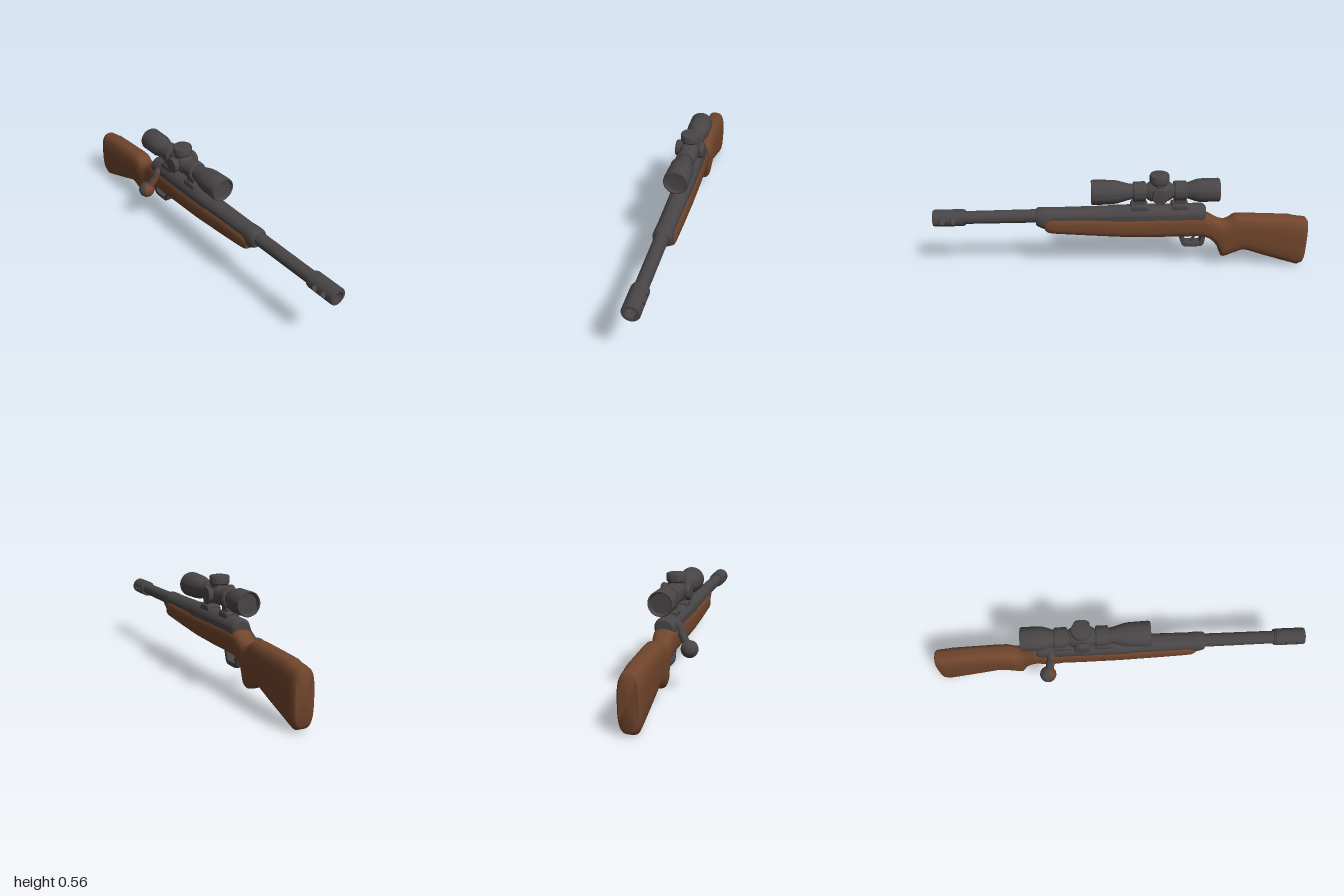
import * as THREE from 'three';
import { toCreasedNormals } from 'three/addons/utils/BufferGeometryUtils.js';

const wood = new THREE.MeshStandardMaterial({ color: 0x70452c });
wood.name = 'walnut wood';
const metal = new THREE.MeshStandardMaterial({ color: 0x494546 });
metal.name = 'dark steel';

// Skin closed rings of [x, y, z] points, ordered from +z over +y to -z
function skin(rings, capped) {
  const n = rings[0].length, pos = rings.flat(2), index = [];
  for (let i = 0; i < rings.length - 1; i++) {
    for (let j = 0; j < n; j++) {
      const k = (j + 1) % n, a = i * n + j, b = i * n + k;
      index.push(a, a + n, b, b, a + n, b + n);
    }
  }
  if (capped) {
    [0, rings.length - 1].forEach((r, end) => {
      const c = pos.length / 3, mid = [0, 0, 0];
      rings[r].forEach(p => p.forEach((v, m) => { mid[m] += v / n; }));
      pos.push(...mid);
      for (let j = 0; j < n; j++) {
        const a = r * n + j, b = r * n + (j + 1) % n;
        index.push(c, end ? b : a, end ? a : b);
      }
    });
  }
  const g = new THREE.BufferGeometry();
  g.setAttribute('position', new THREE.Float32BufferAttribute(pos, 3));
  g.setIndex(index);
  return toCreasedNormals(g, 0.75);
}

// Rounded-box sections along x: [x, bottom, top, half width]
function loft(rows, power, sides = 40) {
  const bend = v => Math.sign(v) * Math.abs(v) ** (2 / power);
  return skin(rows.map(([x, lo, hi, w]) => Array.from({ length: sides }, (_, j) => {
    const t = (j / sides) * Math.PI * 2;
    return [x, (lo + hi) / 2 + bend(Math.sin(t)) * (hi - lo) / 2, bend(Math.cos(t)) * w];
  })), true);
}

// Turned profile of [position, radius] pairs around the y axis
function turned(profile, sides = 40) {
  return toCreasedNormals(new THREE.LatheGeometry(profile.map(([p, r]) => new THREE.Vector2(r, p)), sides), 0.6);
}
const turnedX = (profile, sides) => turned(profile, sides).rotateZ(-Math.PI / 2);

export function createModel() {
  const model = new THREE.Group();
  model.name = 'boltActionRifle';
  model.position.z = -0.04;
  const add = (name, geometry, material, x = 0, y = 0, z = 0, parent = model) => {
    const mesh = new THREE.Mesh(geometry, material);
    mesh.name = name;
    mesh.position.set(x, y, z);
    parent.add(mesh);
    return mesh;
  };

  // Stock: butt, grip and forend in one piece
  add('stock', loft([
    [-1, 0.03, 0.272, 0.046], [-0.992, 0.012, 0.283, 0.053], [-0.965, 0, 0.288, 0.056],
    [-0.93, 0.012, 0.292, 0.057], [-0.9, 0.022, 0.301, 0.057], [-0.78, 0.063, 0.308, 0.056],
    [-0.68, 0.1, 0.313, 0.055], [-0.65, 0.104, 0.315, 0.055], [-0.605, 0.086, 0.315, 0.055],
    [-0.59, 0.08, 0.309, 0.055], [-0.573, 0.072, 0.294, 0.055], [-0.55, 0.065, 0.284, 0.055],
    [-0.537, 0.068, 0.284, 0.054], [-0.527, 0.09, 0.286, 0.052], [-0.51, 0.135, 0.291, 0.05],
    [-0.49, 0.16, 0.302, 0.05], [-0.465, 0.182, 0.318, 0.052], [-0.435, 0.196, 0.332, 0.056],
    [-0.39, 0.2, 0.335, 0.059], [-0.2, 0.202, 0.335, 0.061], [0, 0.208, 0.333, 0.061],
    [0.2, 0.224, 0.338, 0.06], [0.36, 0.238, 0.34, 0.058], [0.395, 0.243, 0.338, 0.056],
    [0.415, 0.255, 0.325, 0.049],
  ], 3), wood);

  // Receiver tube with stepped top, forend cap and barrel
  add('receiver', turnedX([
    [-0.44, 0], [-0.44, 0.04], [-0.43, 0.05], [-0.42, 0.054], [0.05, 0.054], [0.09, 0.05],
    [0.44, 0.047], [0.445, 0.03], [0.445, 0],
  ]), metal, 0, 0.33);
  add('forendCap', loft([
    [0.35, 0.25, 0.375, 0.045], [0.385, 0.25, 0.378, 0.049], [0.42, 0.262, 0.378, 0.05],
    [0.45, 0.277, 0.377, 0.048], [0.462, 0.287, 0.37, 0.042],
  ], 2.5), metal);
  add('barrel', turnedX([
    [0.4, 0], [0.4, 0.036], [0.835, 0.034], [0.835, 0.042], [0.84, 0.042], [0.84, 0],
  ]), metal, 0, 0.334);

  // Muzzle brake: two half shells whose edges are notched to leave round ports
  const arc = 20, rings = [];
  for (let i = 0; i <= 80; i++) {
    const x = 0.835 + 0.165 * i / 80;
    let gap = 0;
    for (const c of [0.892, 0.947]) gap = Math.max(gap, 0.48 * Math.sqrt(Math.max(0, 1 - ((x - c) / 0.015) ** 2)));
    const outer = x < 0.845 || x > 0.995 ? 0.042 : 0.045, ring = [];
    for (const [r, back] of [[outer, 0], [0.028, 1]]) {
      for (let j = 0; j <= arc; j++) {
        const t = gap + (Math.PI - 2 * gap) * (back ? arc - j : j) / arc;
        ring.push([x, r * Math.sin(t), r * Math.cos(t)]);
      }
    }
    rings.push(ring);
  }
  for (const half of [0, 1]) {
    add(half ? 'muzzleBrakeLower' : 'muzzleBrakeUpper', skin(rings, false), metal, 0, 0.334).rotation.x = half * Math.PI;
  }
  add('muzzleFace', new THREE.RingGeometry(0.028, 0.042, 40).rotateY(Math.PI / 2), metal, 1, 0.334);

  // Trigger guard loop and trigger
  const guard = new THREE.Shape();
  guard.moveTo(-0.447, 0.22).lineTo(-0.438, 0.16).quadraticCurveTo(-0.434, 0.137, -0.41, 0.137)
    .lineTo(-0.34, 0.137).quadraticCurveTo(-0.325, 0.138, -0.318, 0.155).lineTo(-0.295, 0.22).closePath();
  const opening = new THREE.Path();
  opening.moveTo(-0.425, 0.205).lineTo(-0.42, 0.165).quadraticCurveTo(-0.418, 0.155, -0.405, 0.155)
    .lineTo(-0.347, 0.155).quadraticCurveTo(-0.338, 0.156, -0.334, 0.165).lineTo(-0.318, 0.205).closePath();
  guard.holes.push(opening);
  add('triggerGuard', new THREE.ExtrudeGeometry(guard, {
    depth: 0.044, bevelThickness: 0.005, bevelSize: 0.003, bevelSegments: 2,
  }), metal, 0, 0, -0.022);
  const triggerPath = new THREE.QuadraticBezierCurve3(
    new THREE.Vector3(-0.39, 0.21, 0), new THREE.Vector3(-0.388, 0.18, 0), new THREE.Vector3(-0.37, 0.162, 0));
  add('trigger', new THREE.TubeGeometry(triggerPath, 10, 0.008, 10), metal);

  // Bolt handle sweeping down to a ball knob, steel behind and wood-coloured ahead
  const handlePath = new THREE.CatmullRomCurve3([
    [-0.36, 0.345, 0.03], [-0.362, 0.335, 0.053], [-0.37, 0.29, 0.073], [-0.385, 0.235, 0.108],
  ].map(p => new THREE.Vector3(...p)));
  add('boltHandle', new THREE.TubeGeometry(handlePath, 20, 0.02, 16), metal);
  add('boltHandleFront', new THREE.TubeGeometry(handlePath, 20, 0.019, 16), wood, 0.005, -0.002, -0.002);
  for (const [name, start, mat] of [['knobRear', -0.25, metal], ['knobFront', 0.75, wood]]) {
    add(name, new THREE.SphereGeometry(0.044, 20, 24, start * Math.PI, Math.PI), mat, -0.388, 0.222, 0.115);
  }

  // Telescopic sight
  const scope = new THREE.Group();
  scope.name = 'scope';
  scope.position.y = 0.466;
  model.add(scope);
  add('scopeTube', turnedX([
    [-0.488, 0], [-0.488, 0.05], [-0.505, 0.055], [-0.507, 0.06], [-0.5, 0.063], [-0.4, 0.062],
    [-0.375, 0.056], [-0.34, 0.043], [-0.32, 0.039], [-0.06, 0.039], [-0.03, 0.043], [0.03, 0.06],
    [0.06, 0.064], [0.155, 0.067], [0.166, 0.065], [0.168, 0.059], [0.155, 0.053], [0.148, 0],
  ], 48), metal, 0, 0, 0, scope);
  add('turretHousing', loft([
    [-0.255, -0.04, 0.04, 0.04], [-0.235, -0.05, 0.05, 0.05],
    [-0.145, -0.05, 0.05, 0.05], [-0.125, -0.04, 0.04, 0.04],
  ], 2.6), metal, 0, 0, 0, scope);
  const topTurret = [[0, 0.04], [0.05, 0.044], [0.058, 0.051], [0.09, 0.052], [0.096, 0.049], [0.098, 0.042], [0.098, 0]];
  const sideTurret = [[0, 0.036], [0.05, 0.036], [0.054, 0.043], [0.072, 0.043], [0.077, 0.04], [0.078, 0.034], [0.078, 0]];
  add('topTurret', turned(topTurret), metal, -0.19, 0, 0, scope);
  for (const side of [1, -1]) {
    add(side > 0 ? 'frontTurret' : 'backTurret', turned(sideTurret).rotateX(side * Math.PI / 2), metal, -0.19, 0, 0, scope);
  }

  // Clamp rings and their feet on the receiver
  for (const x of [-0.3, -0.085]) {
    add('scopeRing', turnedX([
      [-0.034, 0.035], [-0.034, 0.048], [-0.028, 0.053], [0.028, 0.053], [0.034, 0.048], [0.034, 0.035],
    ]), metal, x, 0.466);
    add('ringFoot', new THREE.BoxGeometry(0.052, 0.07, 0.056), metal, x, 0.4);
    add('ringBase', loft([
      [-0.045, 0.355, 0.392, 0.036], [-0.037, 0.355, 0.4, 0.038],
      [0.037, 0.355, 0.4, 0.038], [0.045, 0.355, 0.392, 0.036],
    ], 5), metal, x);
  }
  return model;
}
